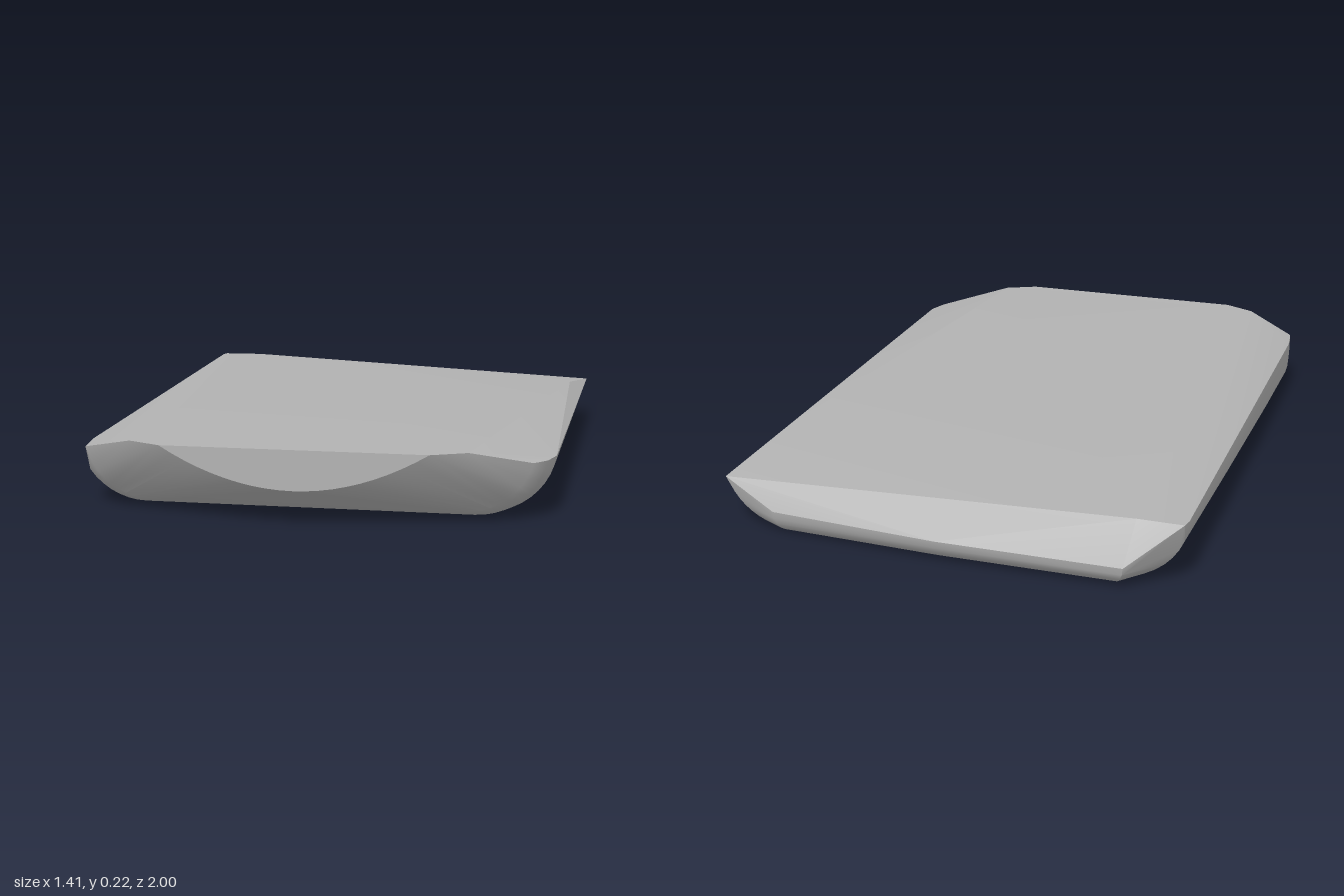
import * as THREE from 'three';
import { ConvexGeometry } from 'three/addons/geometries/ConvexGeometry.js';
import { toCreasedNormals } from 'three/addons/utils/BufferGeometryUtils.js';

const lerp = THREE.MathUtils.lerp;

// Rounded side section from the flat base up to height top, at one z station
function sideArc(points, z, side, top, { inner = 0.49, reach = 0.215, lift = 0, limit = 1 } = {}) {
  const height = 0.2;
  const end = Math.acos(1 - (top - lift) / height);
  for (let i = 0; i <= 10; i++) {
    const t = (end * i) / 10;
    const x = Math.min(inner + reach * Math.sin(t), limit);
    points.push(new THREE.Vector3(side * x, lift + height * (1 - Math.cos(t)), z));
  }
}

export function createModel() {
  const group = new THREE.Group();
  const grey = new THREE.MeshStandardMaterial({ color: 0xb2b2b2 });
  grey.name = 'plain grey';
  const points = [];
  const add = (x, y, z) => points.push(new THREE.Vector3(x, y, z));

  // Long rounded sides; the left rim runs level while the right one drops to the back
  for (const z of [-0.91, -0.3, 0.3, 0.73]) {
    const t = (z + 0.91) / 1.76;
    sideArc(points, z, 1, lerp(0.14, 0.175, t), { reach: lerp(0.21, 0.215, t) });
    sideArc(points, z, -1, lerp(0.195, 0.172, t), { reach: 0.22, limit: lerp(0.71, 0.66, t) });
  }

  // Rounded front corners
  for (const side of [-1, 1]) {
    const limit = side < 0 ? 0.655 : 1;
    sideArc(points, 0.8, side, 0.172, { inner: 0.48, reach: 0.207, lift: 0.008, limit });
    sideArc(points, 0.845, side, 0.172, { inner: 0.45, reach: 0.205, lift: 0.024, limit });
    add(side * 0.48, 0.215, 0.95);
  }

  // Curved lower edge of the front face
  for (let i = -10; i <= 10; i++) {
    const u = i / 10;
    add(0.38 * u, 0.1 + 0.115 * u * u, 1);
  }

  // Rounded lower back edge
  for (let i = 1; i <= 5; i++) {
    const a = (i / 5) * Math.PI / 2;
    const y = 0.07 * (1 - Math.cos(a));
    const out = Math.sin(a);
    add(-0.49 - 0.06 * out, y, -0.92 - 0.08 * out);
    add(0, y, -0.92 - 0.08 * out);
    add(0.49 + 0.03 * out, y, -0.91 - 0.05 * out);
  }

  // Upper back corners and the right-hand corner of the top
  add(-0.705, 0.195, -0.94);
  add(-0.57, 0.196, -0.94);
  add(0.695, 0.14, -0.91);
  add(0.655, 0.183, -0.55);

  const geometry = toCreasedNormals(new ConvexGeometry(points), 0.45);
  const body = new THREE.Mesh(geometry, grey);
  body.name = 'trayBody';
  group.add(body);
  return group;
}
